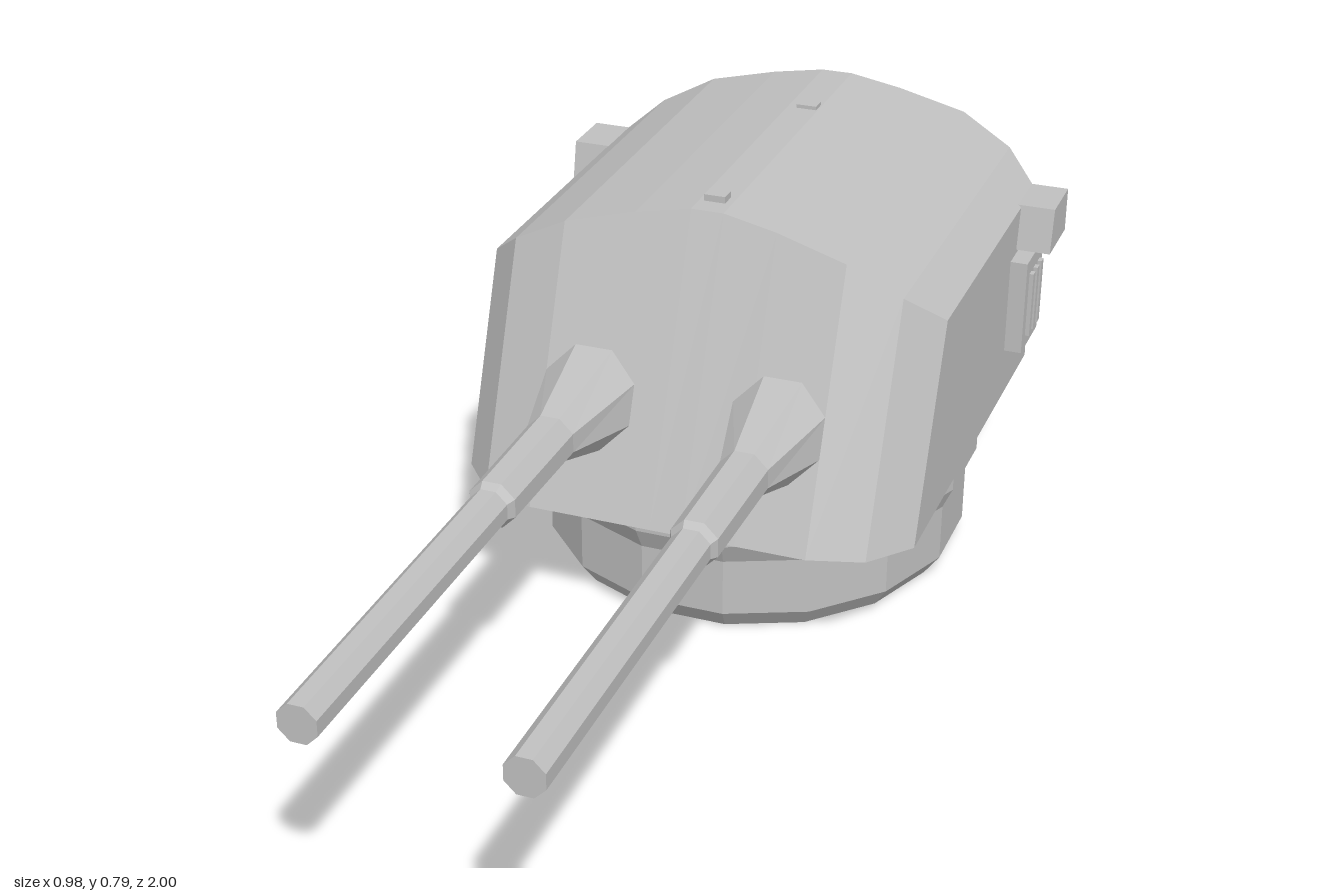
import * as THREE from 'three';

export function createModel() {
  const model = new THREE.Group();
  model.name = 'gunTurret';
  const grey = new THREE.MeshStandardMaterial({ color: 0xc0c0c0 });
  grey.name = 'light grey';
  grey.flatShading = true;

  const add = (name, geometry, parent = model) => {
    const mesh = new THREE.Mesh(geometry, grey);
    mesh.name = name;
    parent.add(mesh);
    return mesh;
  };
  // Box given by its limits on each axis
  const box = (x0, x1, y0, y1, z0, z1) =>
    new THREE.BoxGeometry(x1 - x0, y1 - y0, z1 - z0)
      .translate((x0 + x1) / 2, (y0 + y1) / 2, (z0 + z1) / 2);

  // Gunhouse: sloped front and rear plates under an arched roof
  const floorY = 0.245;
  const frontZ = (z, y) => z - 0.385 * (y - floorY);
  const rearZ = (z, y) => z + 0.085 * (y - floorY);
  // x, roof height, front and rear z at the floor
  const half = [
    [0.03, 0.778, 0, -1], [0.13, 0.76, 0, -1], [0.26, 0.727, 0, -1],
    [0.36, 0.675, -0.03, -0.975], [0.425, 0.62, -0.108, -0.92],
  ];
  const stations = [
    ...half.map(([x, ...rest]) => [-x, ...rest]).reverse(), ...half,
  ].map(([x, y, f, r]) => ({
    fb: [x, floorY, f], ft: [x, y, frontZ(f, y)],
    rb: [x, floorY, r], rt: [x, y, rearZ(r, y)],
  }));
  const points = [];
  const quad = (a, b, c, d) => points.push(...a, ...b, ...c, ...a, ...c, ...d);
  for (let i = 0; i < stations.length - 1; i++) {
    const s = stations[i], t = stations[i + 1];
    quad(s.fb, t.fb, t.ft, s.ft);
    quad(s.ft, t.ft, t.rt, s.rt);
    quad(t.rb, s.rb, s.rt, t.rt);
    quad(s.rb, t.rb, t.fb, s.fb);
  }
  const first = stations[0], last = stations[stations.length - 1];
  quad(last.fb, last.rb, last.rt, last.ft);
  quad(first.rb, first.fb, first.ft, first.rt);
  const hull = new THREE.BufferGeometry();
  hull.setAttribute('position', new THREE.Float32BufferAttribute(points, 3));
  hull.computeVertexNormals();
  add('gunhouse', hull);

  // Sixteen-sided rotating base
  const baseProfile = [[0, 0], [0.373, 0], [0.403, 0.042], [0.403, 0.153],
    [0.422, 0.195], [0.422, 0.25]].map(p => new THREE.Vector2(...p));
  const base = new THREE.LatheGeometry(baseProfile, 16, Math.PI / 16);
  base.scale(1, 1, 1.055).translate(0, 0, -0.505);
  add('base', base);

  // Octagonal guns whose sleeves are cut to the sloped front plate
  const gunY = 0.445;
  const gunProfile = [[0.092, -0.08], [0.046, 0.09], [0.044, 0.33],
    [0.036, 0.345], [0.035, 1], [0, 1]].map(p => new THREE.Vector2(...p));
  for (const side of [-1, 1]) {
    const gun = new THREE.LatheGeometry(gunProfile, 8, Math.PI / 8);
    gun.rotateX(Math.PI / 2).translate(side * 0.176, gunY, 0);
    const pos = gun.attributes.position;
    for (let i = 0; i < pos.count; i++) {
      if (pos.getZ(i) < 0) pos.setZ(i, frontZ(0, pos.getY(i)) - 0.004);
    }
    add(side > 0 ? 'leftGun' : 'rightGun', gun);
  }

  // Side fittings: rangefinder hood above a slatted vent
  for (const side of [-1, 1]) {
    const group = new THREE.Group();
    group.name = side > 0 ? 'leftSideFittings' : 'rightSideFittings';
    model.add(group);
    const span = (a, b) => side > 0 ? [a, b] : [-b, -a];
    const hood = box(...span(0.4, 0.49), 0.54, 0.625, -0.892, -0.765);
    const pos = hood.attributes.position;
    for (let i = 0; i < pos.count; i++) {
      if (pos.getY(i) > 0.6 && pos.getZ(i) > -0.8) pos.setZ(i, -0.782);
    }
    hood.computeVertexNormals();
    add('rangefinderHood', hood, group);
    add('ventPanel', box(...span(0.41, 0.458), 0.345, 0.532, -0.85, -0.723), group);
    for (const z of [-0.755, -0.788, -0.821]) {
      add('ventSlat', box(...span(0.45, 0.466), 0.372, 0.502, z - 0.008, z + 0.008), group);
    }
  }

  // Small roof blocks
  add('frontRoofBlock', box(-0.021, 0.018, 0.765, 0.79, -0.277, -0.247));
  add('rearRoofBlock', box(-0.012, 0.027, 0.765, 0.785, -0.765, -0.735));

  return model;
}
